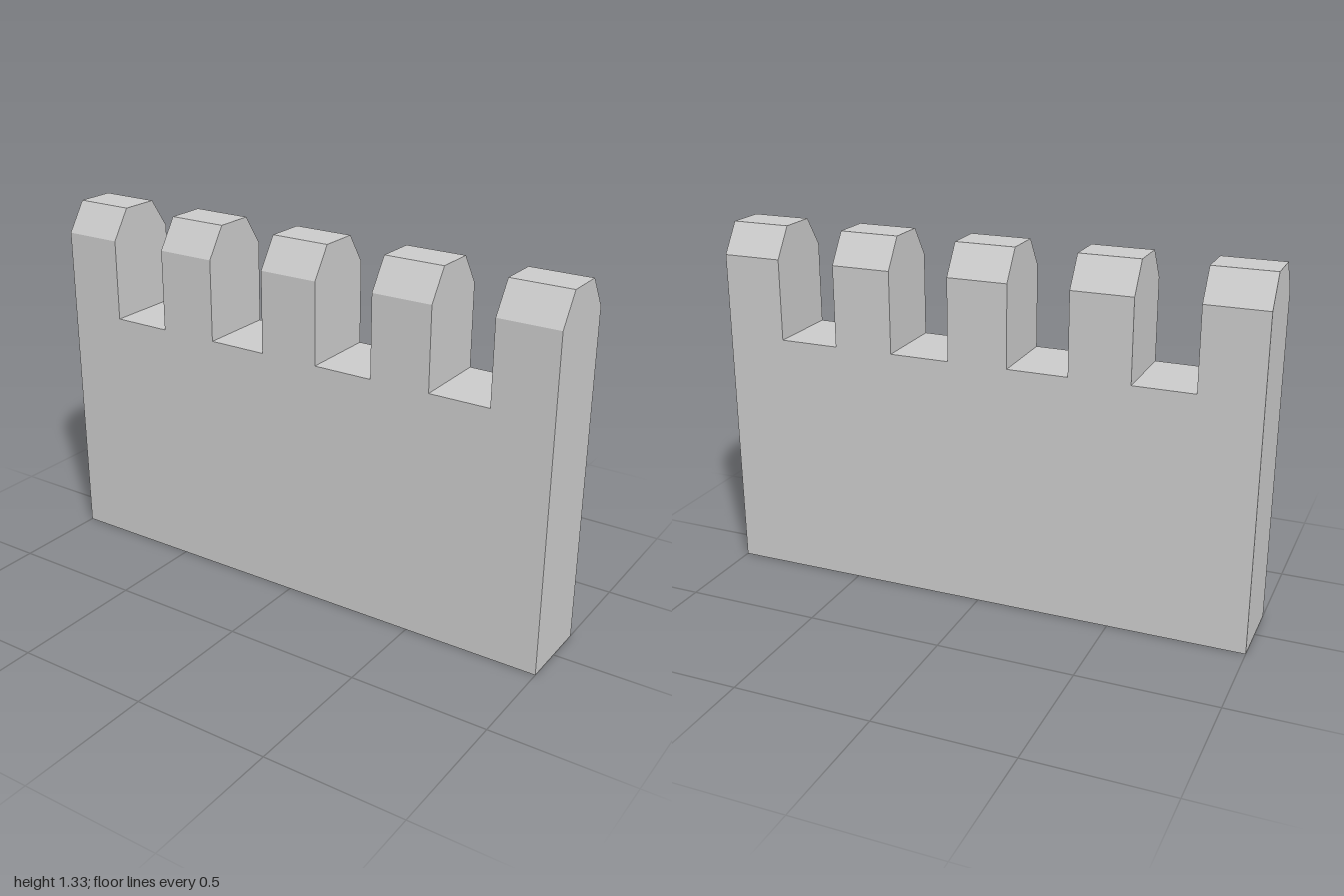
import * as THREE from 'three';

const MERLONS = 5;
const UNIT = 2 / (MERLONS * 2 - 1); // width of one merlon or one gap
const DEPTH = 0.29;
const GAP_Y = 0.914;      // floor of the gaps
const SHOULDER_Y = 1.215; // where the bevels begin
const TOP_Y = 1.325;
const TOP_HALF = 0.072;   // half depth of the flat top

export function createModel() {
  const group = new THREE.Group();
  group.name = 'battlementWall';
  const material = new THREE.MeshStandardMaterial({ color: 0xcccccc, flatShading: true });

  // Wall with a crenellated outline, up to the bevels
  const outline = new THREE.Shape();
  outline.moveTo(-1, 0);
  outline.lineTo(1, 0);
  for (let i = MERLONS - 1; i >= 0; i--) {
    const left = -1 + i * 2 * UNIT;
    const right = left + UNIT;
    if (i < MERLONS - 1) outline.lineTo(right, GAP_Y);
    outline.lineTo(right, SHOULDER_Y);
    outline.lineTo(left, SHOULDER_Y);
    if (i > 0) outline.lineTo(left, GAP_Y);
  }
  outline.closePath();
  const wallGeometry = new THREE.ExtrudeGeometry(outline, { depth: DEPTH, bevelEnabled: false });
  wallGeometry.translate(0, 0, -DEPTH / 2);
  const wall = new THREE.Mesh(wallGeometry, material);
  wall.name = 'wall';
  group.add(wall);

  // Bevelled cap on each merlon, extruded along x
  const profile = new THREE.Shape([
    new THREE.Vector2(-DEPTH / 2, SHOULDER_Y),
    new THREE.Vector2(DEPTH / 2, SHOULDER_Y),
    new THREE.Vector2(TOP_HALF, TOP_Y),
    new THREE.Vector2(-TOP_HALF, TOP_Y),
  ]);
  const capGeometry = new THREE.ExtrudeGeometry(profile, { depth: UNIT, bevelEnabled: false });
  capGeometry.rotateY(Math.PI / 2);
  for (let i = 0; i < MERLONS; i++) {
    const cap = new THREE.Mesh(capGeometry, material);
    cap.name = `merlonCap${i + 1}`;
    cap.position.x = -1 + i * 2 * UNIT;
    group.add(cap);
  }

  return group;
}
